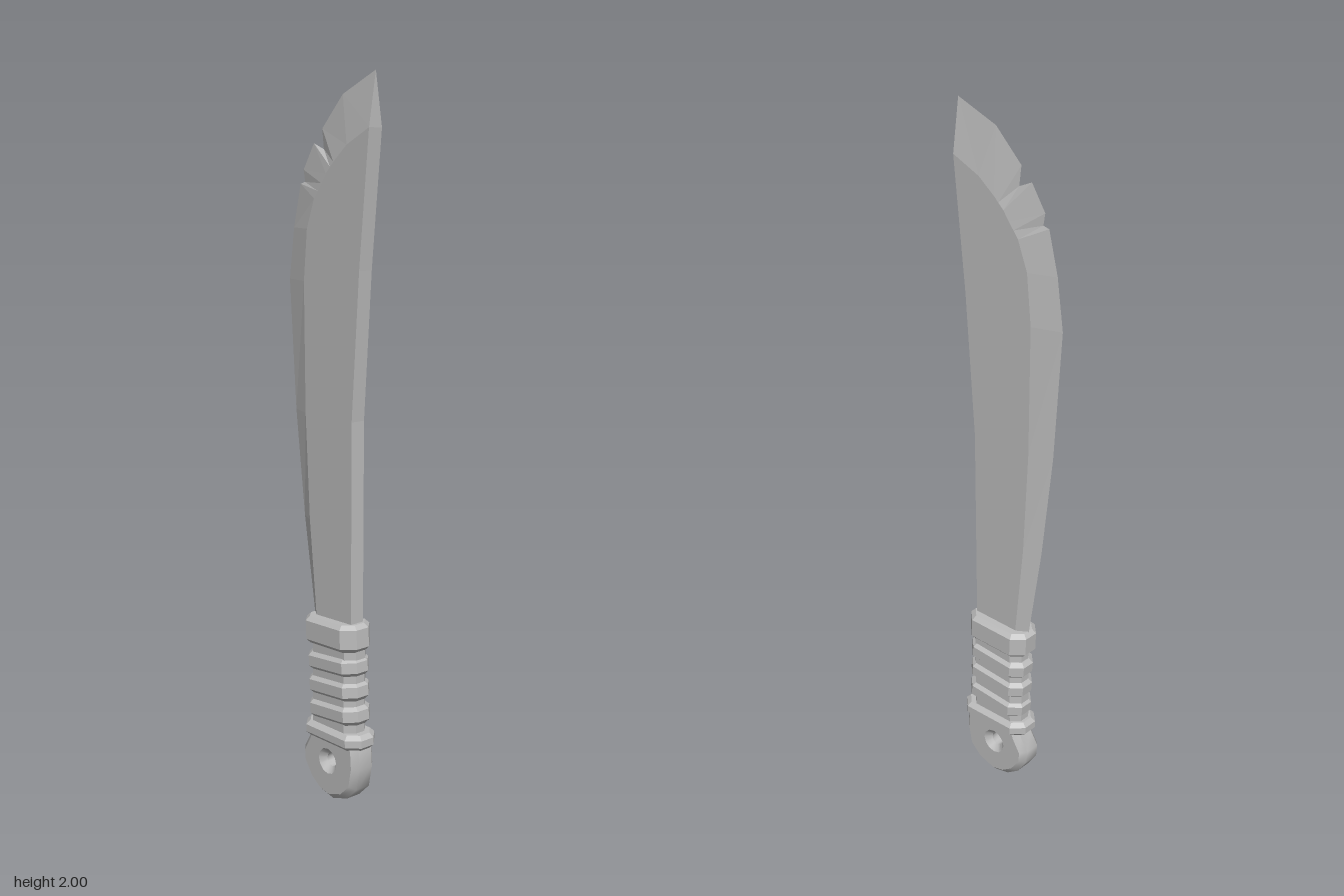
import * as THREE from 'three';
import { toCreasedNormals } from 'three/addons/utils/BufferGeometryUtils.js';

const steel = new THREE.MeshStandardMaterial({ color: 0xbbbbbb });
steel.name = 'plain grey';

// Joins cross-sections (counter-clockwise seen from above) into a closed, flat-faced solid
function loft(sections) {
  const pos = [];
  const tri = (a, b, c) => pos.push(...a, ...b, ...c);
  const n = sections[0].length;
  for (let i = 0; i < sections.length - 1; i++) {
    const lo = sections[i], hi = sections[i + 1];
    for (let j = 0; j < n; j++) {
      const k = (j + 1) % n;
      tri(lo[j], lo[k], hi[k]);
      tri(lo[j], hi[k], hi[j]);
    }
  }
  const first = sections[0], last = sections[sections.length - 1];
  for (let j = 1; j < n - 1; j++) {
    tri(first[0], first[j + 1], first[j]);
    tri(last[0], last[j], last[j + 1]);
  }
  const geo = new THREE.BufferGeometry();
  geo.setAttribute('position', new THREE.Float32BufferAttribute(pos, 3));
  geo.computeVertexNormals();
  return geo;
}

// Rectangle with cut corners, lying at height y
function octagon(hx, hz, y) {
  const c = hz * 0.6;
  return [[hx, hz - c], [hx, c - hz], [hx - c, -hz], [c - hx, -hz],
    [-hx, c - hz], [-hx, hz - c], [c - hx, hz], [hx - c, hz]].map(([x, z]) => [x, y, z]);
}

function add(group, name, geo) {
  const mesh = new THREE.Mesh(geo, steel);
  mesh.name = name;
  group.add(mesh);
  return mesh;
}

// Bevelled ring around the grip
function addBand(group, name, { x, y, hx, hz, h, tilt }) {
  const b = 0.012;
  const mesh = add(group, name, loft([
    octagon(hx - b, hz - b, -h / 2), octagon(hx, hz, b - h / 2),
    octagon(hx, hz, h / 2 - b), octagon(hx - b, hz - b, h / 2),
  ]));
  mesh.position.set(x, y, 0);
  mesh.rotation.z = tilt;
}

// Spine x at a given height
function spineX(y) {
  if (y <= 1.1) return 0.108;
  if (y <= 1.5) return 0.108 + (y - 1.1) / 0.4 * 0.027;
  return 0.135 + (y - 1.5) / 0.36 * 0.035;
}

function createBlade() {
  const t = 0.022;
  // cutting edge x, y; bevel line x, y; spine y
  const stations = [
    [-0.066, 0.50, -0.035, 0.50, 0.50],
    [-0.114, 0.80, -0.066, 0.80, 0.80],
    [-0.150, 1.10, -0.083, 1.10, 1.10],
    [-0.175, 1.46, -0.088, 1.46, 1.50],
    [-0.156, 1.60, -0.075, 1.60, 1.60],
    [-0.127, 1.717, -0.045, 1.68, 1.68],
    [-0.108, 1.722, -0.030, 1.70, 1.71], // small nick
    [-0.114, 1.754, -0.015, 1.72, 1.73],
    [-0.071, 1.823, 0.003, 1.745, 1.76],
    [-0.030, 1.807, 0.020, 1.762, 1.78], // large nick
    [-0.037, 1.860, 0.033, 1.775, 1.80],
    [0.045, 1.945, 0.085, 1.818, 1.83],
    [0.170, 2.000, 0.170, 1.86, 1.86],
  ];
  return loft(stations.map(([ex, ey, bx, by, sy]) => [
    [ex, ey, 0], [bx, by, t], [spineX(sy), sy, t], [spineX(sy), sy, -t], [bx, by, -t],
  ]));
}

function createPommel() {
  const outline = [[-0.05, 0.2], [-0.06, 0.17], [-0.087, 0.125], [-0.083, 0.085], [-0.05, 0.038],
    [-0.01, 0.011], [0.035, 0.002], [0.095, 0.022], [0.135, 0.062], [0.147, 0.125],
    [0.143, 0.18], [0.135, 0.2]];
  const shape = new THREE.Shape(outline.map(([x, y]) => new THREE.Vector2(x, y)));
  const hole = new THREE.Path();
  hole.absarc(0.03, 0.118, 0.02, 0, Math.PI * 2, true);
  shape.holes.push(hole);
  const bevel = 0.017;
  const geo = new THREE.ExtrudeGeometry(shape, {
    depth: 0.08 - 2 * bevel, curveSegments: 6, bevelEnabled: true,
    bevelSize: bevel, bevelOffset: -bevel, bevelThickness: bevel, bevelSegments: 1,
  });
  geo.translate(0, 0, bevel - 0.04);
  return toCreasedNormals(geo, 0.7);
}

export function createModel() {
  const group = new THREE.Group();
  group.name = 'machete';
  add(group, 'blade', createBlade());
  add(group, 'pommel', createPommel());

  // grip core under the wrapping
  add(group, 'gripCore', loft([octagon(0.09, 0.04, 0.18), octagon(0.09, 0.04, 0.5)])).position.x = 0.033;

  // collar, three slanted wraps, lower ring
  addBand(group, 'collar', { x: 0.027, y: 0.495, hx: 0.105, hz: 0.055, h: 0.078, tilt: 0.05 });
  for (let i = 0; i < 3; i++) {
    addBand(group, 'wrap' + (i + 1), {
      x: 0.031 + i * 0.003, y: 0.408 - i * 0.07, hx: 0.1, hz: 0.05, h: 0.054, tilt: 0.1,
    });
  }
  addBand(group, 'lowerRing', { x: 0.038, y: 0.2, hx: 0.116, hz: 0.055, h: 0.045, tilt: 0.02 });
  return group;
}
